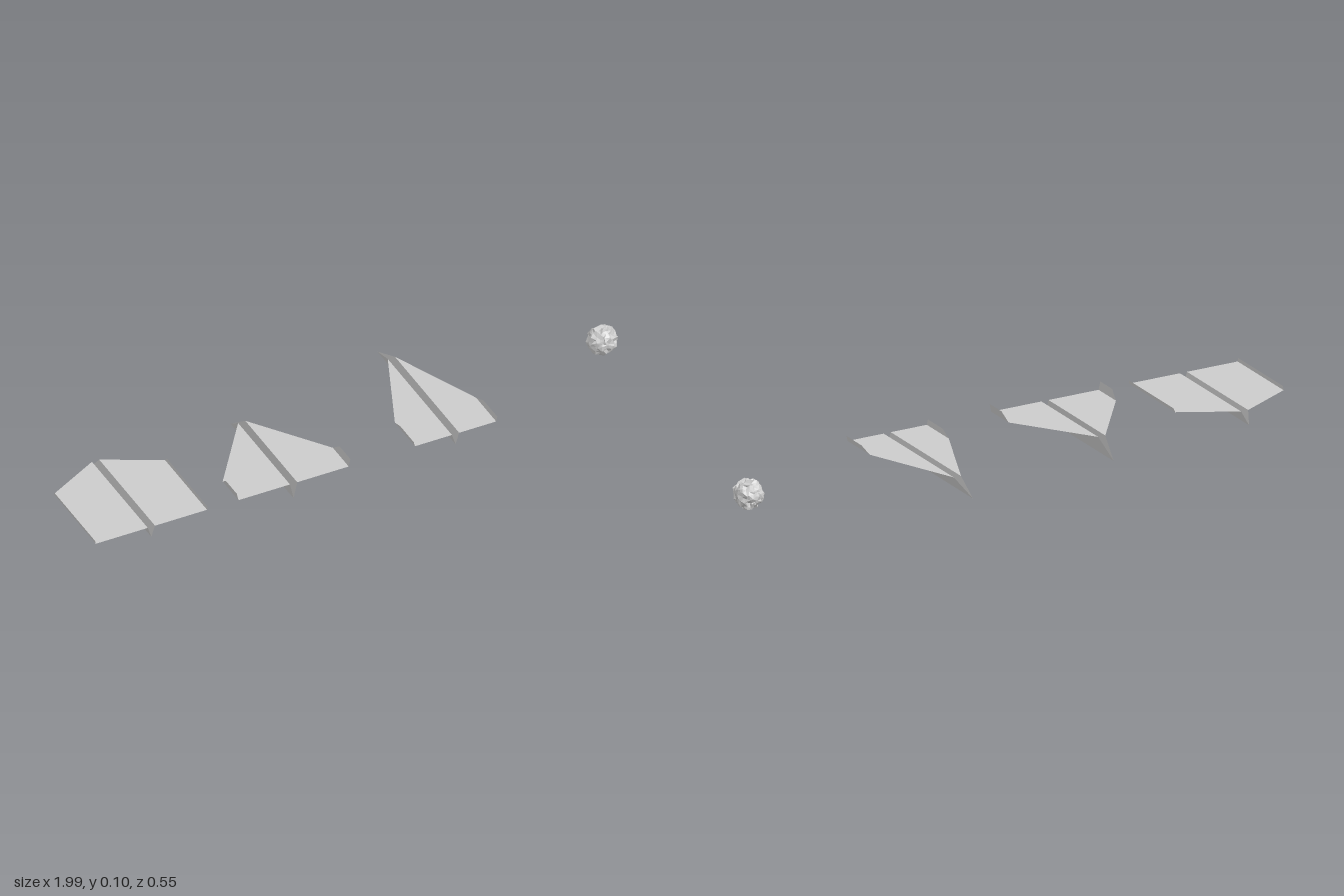
import * as THREE from 'three';

const paper = new THREE.MeshStandardMaterial({
  color: 0xcccccc, flatShading: true, side: THREE.DoubleSide,
});
const WING_Y = 0.0625, SLOT = 0.013, BACK = 0.277;

// Flat convex panel of paper from its corner points
function panel(name, corners) {
  const g = new THREE.BufferGeometry();
  g.setAttribute('position', new THREE.Float32BufferAttribute(corners.flat(), 3));
  const index = [];
  for (let i = 1; i < corners.length - 1; i++) index.push(0, i, i + 1);
  g.setIndex(index);
  g.computeVertexNormals();
  const mesh = new THREE.Mesh(g, paper);
  mesh.name = name;
  return mesh;
}

// Folded dart: V-shaped keel, two flat wings, turned-up wing tips
function paperPlane(p) {
  const plane = new THREE.Group();
  plane.name = p.name;
  plane.position.x = p.x;
  for (const s of [1, -1]) {
    const side = s > 0 ? 'left' : 'right';
    const half = p.half - p.lean;
    plane.add(panel(side + 'Wing', [
      [s * SLOT, WING_Y, BACK], [s * half, WING_Y, BACK],
      [s * half, WING_Y, p.shoulder], [s * SLOT, WING_Y, p.apex],
    ]));
    plane.add(panel(side + 'Keel', [
      [s * SLOT, WING_Y, BACK], [s * SLOT, WING_Y, p.apex],
      [0, p.bottom, p.nose], [0, p.bottom, BACK],
    ]));
    plane.add(panel(side + 'WingTip', [
      [s * half, WING_Y, BACK], [s * half, WING_Y, p.shoulder],
      [s * p.half, p.tipY, p.tipFront], [s * p.half, p.tipY, BACK],
    ]));
  }
  return plane;
}

// Repeatable value in 0..1 for a direction, the same for coincident corners
function hash(v, seed) {
  const k = Math.round(v.x * 500) * 12.9898 + Math.round(v.y * 500) * 78.233
    + Math.round(v.z * 500) * 37.719 + seed * 4.17;
  const n = Math.sin(k) * 43758.5453;
  return n - Math.floor(n);
}

// Crumpled ball: creased facets with sharp ridges and sunken folds
function paperBall() {
  const g = new THREE.IcosahedronGeometry(1, 4);
  const pos = g.attributes.position, v = new THREE.Vector3();
  for (let i = 0; i < pos.count; i++) {
    v.fromBufferAttribute(pos, i);
    const a = hash(v, 1), b = hash(v, 2), c = hash(v, 3);
    const fold = Math.abs(Math.sin(v.x * 6 + v.y * 3) * Math.cos(v.z * 5 - v.y * 4));
    const r = 0.056 - 0.008 * fold - 0.009 * a;
    v.x += (b - 0.5) * 0.2;
    v.y += (c - 0.5) * 0.2;
    v.z += (a - 0.5) * 0.2;
    v.normalize().multiplyScalar(r);
    pos.setXYZ(i, v.x, v.y, v.z);
  }
  g.computeVertexNormals();
  const ball = new THREE.Mesh(g, paper);
  ball.name = 'crumpledPaperBall';
  ball.position.set(0.944, 0.057, 0.036);
  return ball;
}

export function createModel() {
  const group = new THREE.Group();
  group.name = 'paperPlanesAndBall';
  const planes = [
    { name: 'broadPlane', x: -0.798, half: 0.202, lean: 0.002, shoulder: -0.02, apex: -0.118,
      nose: -0.147, bottom: 0.022, tipY: 0.074, tipFront: -0.012 },
    { name: 'deltaPlane', x: -0.287, half: 0.204, lean: 0.006, shoulder: 0.165, apex: -0.09,
      nose: -0.168, bottom: 0.003, tipY: 0.09, tipFront: 0.2 },
    { name: 'narrowPlane', x: 0.295, half: 0.15, lean: 0.004, shoulder: 0.135, apex: -0.177,
      nose: -0.277, bottom: 0.021, tipY: 0.08, tipFront: 0.18 },
  ];
  for (const p of planes) group.add(paperPlane(p));
  group.add(paperBall());
  return group;
}
